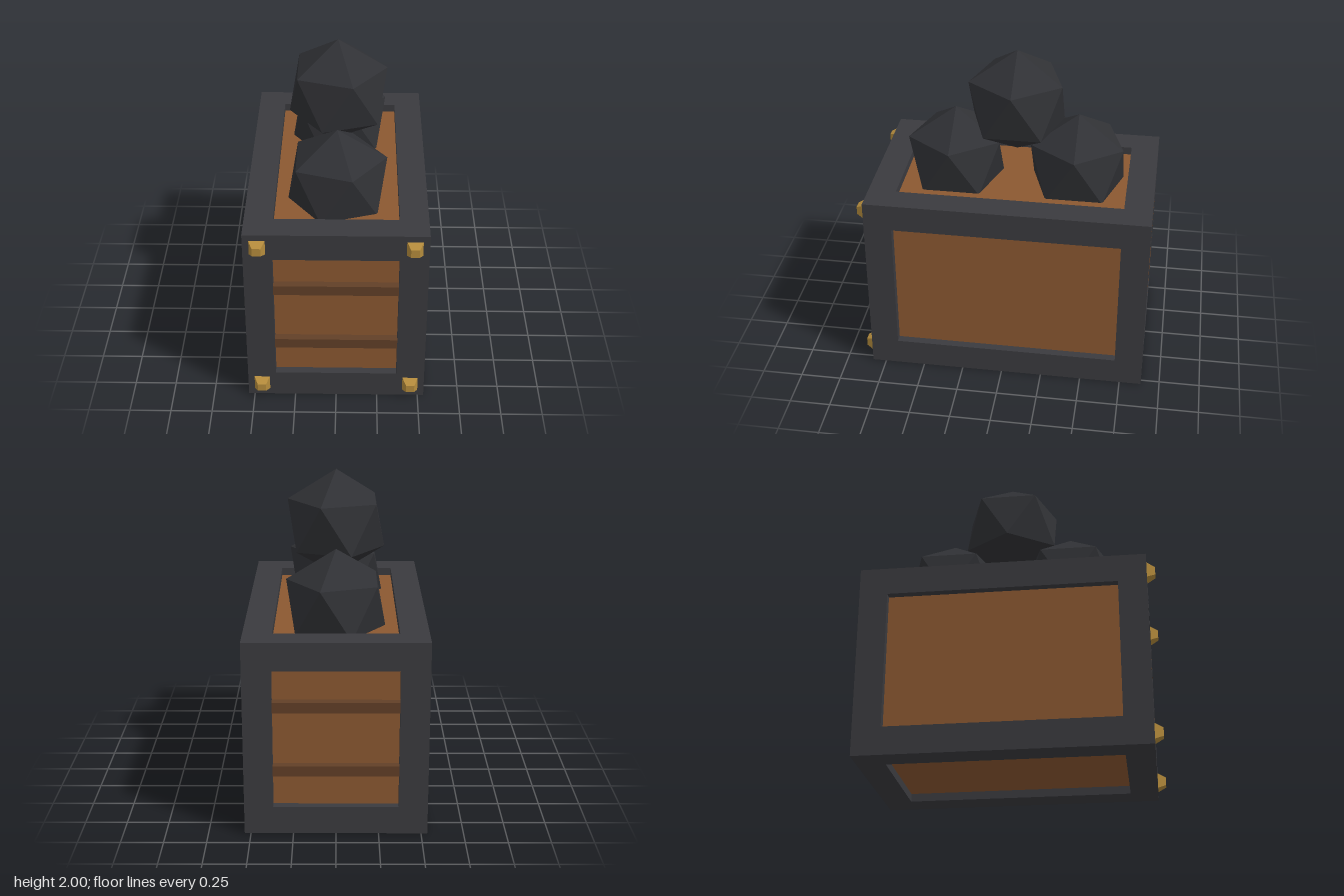
import * as THREE from 'three';

const W = 1.074, H = 1.185, Z0 = -0.885, Z1 = 0.835; // crate width, height, back and front
const BEAM = 0.17, INSET = 0.05;
const D = Z1 - Z0, ZC = (Z0 + Z1) / 2;

const material = (color) => new THREE.MeshStandardMaterial({ color, flatShading: true });

export function createModel() {
  const model = new THREE.Group();
  const iron = material(0x3a3a3e);
  const wood = material(0x8b5831);
  const darkWood = material(0x613f27);
  const brass = material(0xb58c3c);
  const coal = material(0x303135);

  const add = (name, geometry, mat, x, y, z) => {
    const mesh = new THREE.Mesh(geometry, mat);
    mesh.name = name;
    mesh.position.set(x, y, z);
    model.add(mesh);
    return mesh;
  };

  // Front and back frames: rectangles with a rectangular opening
  const rect = (Type, w, h) => new Type([
    new THREE.Vector2(-w / 2, -h / 2), new THREE.Vector2(w / 2, -h / 2),
    new THREE.Vector2(w / 2, h / 2), new THREE.Vector2(-w / 2, h / 2),
  ]);
  const ring = rect(THREE.Shape, W, H);
  ring.holes.push(rect(THREE.Path, W - 2 * BEAM, H - 2 * BEAM));
  const ringGeometry = new THREE.ExtrudeGeometry(ring, { depth: BEAM, bevelEnabled: false });
  add('frontFrame', ringGeometry, iron, 0, H / 2, Z1 - BEAM);
  add('backFrame', ringGeometry, iron, 0, H / 2, Z0);

  // Long beams joining the two frames
  const beam = new THREE.BoxGeometry(BEAM, BEAM, D - 2 * BEAM);
  for (const x of [-1, 1]) {
    for (const y of [BEAM / 2, H - BEAM / 2]) {
      add('longBeam', beam, iron, x * (W - BEAM) / 2, y, ZC);
    }
  }

  // Recessed wooden body
  add('woodenBody', new THREE.BoxGeometry(W - 2 * INSET, H - 2 * INSET, D - 2 * INSET), wood, 0, H / 2, ZC);

  // Cross slats on both ends
  const slat = new THREE.BoxGeometry(W - 2 * BEAM, 0.064, INSET);
  for (const y of [0.397, 0.793]) {
    add('frontSlat', slat, darkWood, 0, y, Z1 - INSET / 2 - 0.002);
    add('backSlat', slat, darkWood, 0, y, Z0 + INSET / 2 + 0.002);
  }

  // Tapered square studs on the front corners
  const stud = new THREE.CylinderGeometry(0.025 * Math.SQRT2, 0.047 * Math.SQRT2, 0.05, 4);
  stud.rotateY(Math.PI / 4).rotateX(Math.PI / 2);
  for (const x of [-0.452, 0.452]) {
    for (const y of [0.09, 1.1]) add('cornerStud', stud, brass, x, y, Z1 + 0.025);
  }

  // Coal lumps, each standing on a point
  const lump = new THREE.IcosahedronGeometry(0.33, 0);
  lump.rotateZ(-Math.atan(2 / (1 + Math.sqrt(5))));
  add('coalFront', lump, coal, 0, 1.27, ZC + 0.377);
  add('coalBack', lump, coal, 0, 1.27, ZC - 0.377);
  add('coalTop', lump, coal, 0, 1.67, ZC);

  return model;
}
